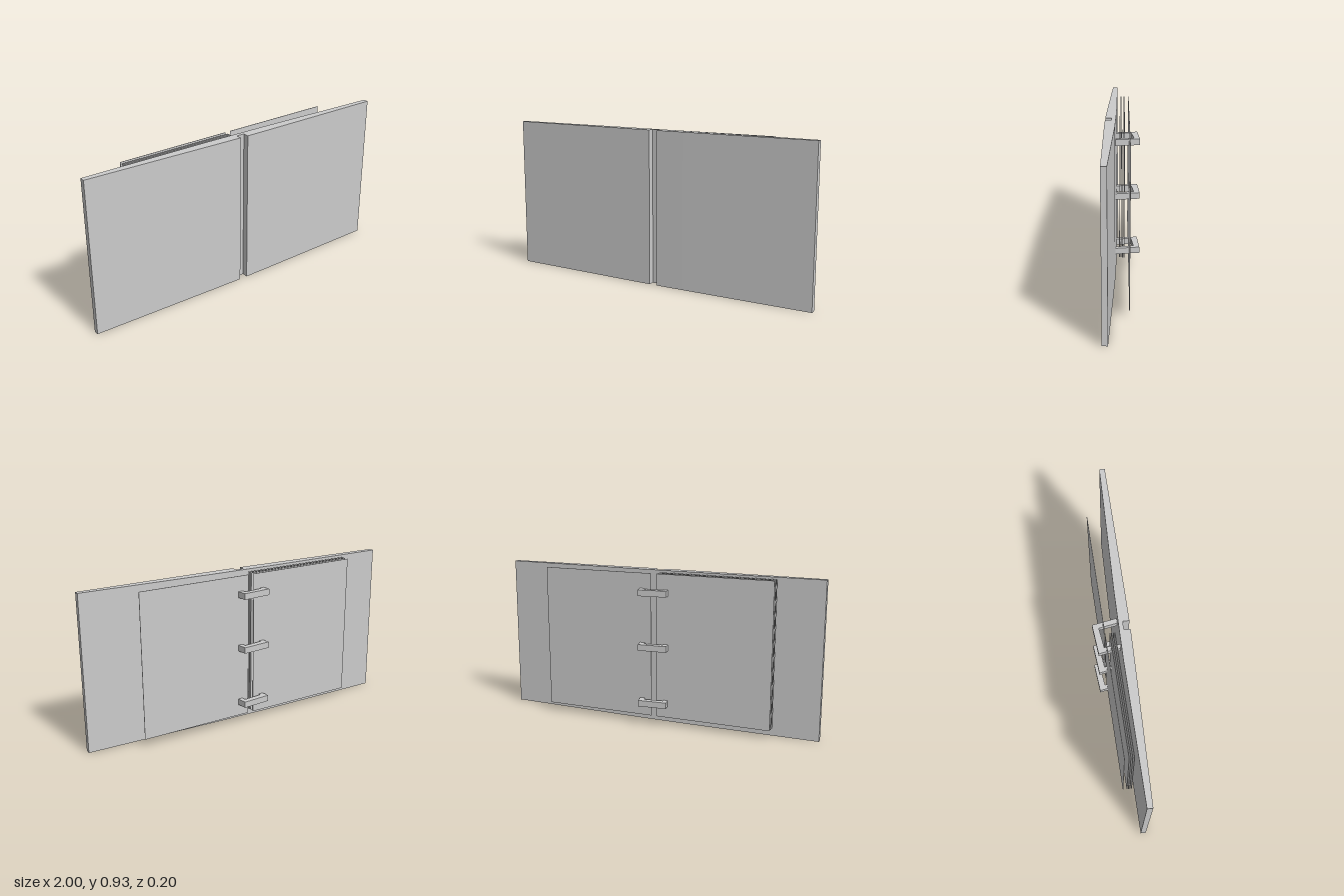
import * as THREE from 'three';

const grey = new THREE.MeshStandardMaterial({ color: 0xcccccc, flatShading: true });

// Extrude an outline of [x, z] points upwards from y0
function prism(name, points, y0, height) {
  const shape = new THREE.Shape(points.map(([x, z]) => new THREE.Vector2(x, -z)));
  const geometry = new THREE.ExtrudeGeometry(shape, { depth: height, bevelEnabled: false });
  geometry.rotateX(-Math.PI / 2);
  geometry.translate(0, y0, 0);
  const mesh = new THREE.Mesh(geometry, grey);
  mesh.name = name;
  return mesh;
}

// Thin sheet spanning two [x, z] ends, leaning slightly back at the top
function sheet(name, [x0, z0], [x1, z1], thickness) {
  const geometry = new THREE.BoxGeometry(Math.hypot(x1 - x0, z1 - z0), 0.87, thickness);
  geometry.rotateX(-0.005);
  geometry.rotateY(-Math.atan2(z1 - z0, x1 - x0));
  const mesh = new THREE.Mesh(geometry, grey);
  mesh.position.set((x0 + x1) / 2, 0.485, (z0 + z1) / 2);
  mesh.name = name;
  return mesh;
}

export function createModel() {
  const model = new THREE.Group();
  model.name = 'openRingBinder';

  // Cover opened flat, tapering to its outer edges, with a groove down the spine
  const half = [[0.025, 0.065], [0.025, 0.102], [0.2, 0.1], [1, 0.086], [1, 0.054], [0.2, 0.04]];
  const mirrored = half.map(([x, z]) => [-x, z]).reverse();
  model.add(prism('cover', [...half, ...mirrored], 0, 0.93));

  // Three angular rings, leaning to one side
  const ring = [
    [0.09, 0.045], [0.065, -0.102], [-0.11, -0.085], [-0.103, -0.045], [-0.092, 0.045],
    [-0.066, 0.045], [-0.076, -0.05], [0.042, -0.066], [0.06, 0.045],
  ];
  const rings = new THREE.Group();
  rings.name = 'rings';
  for (const y of [0.12, 0.465, 0.792]) rings.add(prism('ring', ring, y, 0.037));
  model.add(rings);

  // Stacked sheets on one side
  const stack = new THREE.Group();
  stack.name = 'sheetStack';
  for (let i = 0; i < 4; i++) {
    const z = 0.031 - i * 0.0095;
    stack.add(sheet('stackedSheet', [-0.73, z], [-0.03, z - 0.013], 0.004));
  }
  model.add(stack);

  // Loose pages lying open above the stack and on the other side
  model.add(sheet('rightPage', [-0.73, -0.022], [-0.03, -0.037], 0.003));
  model.add(sheet('leftPage', [0.005, -0.038], [0.7, -0.052], 0.003));
  return model;
}
